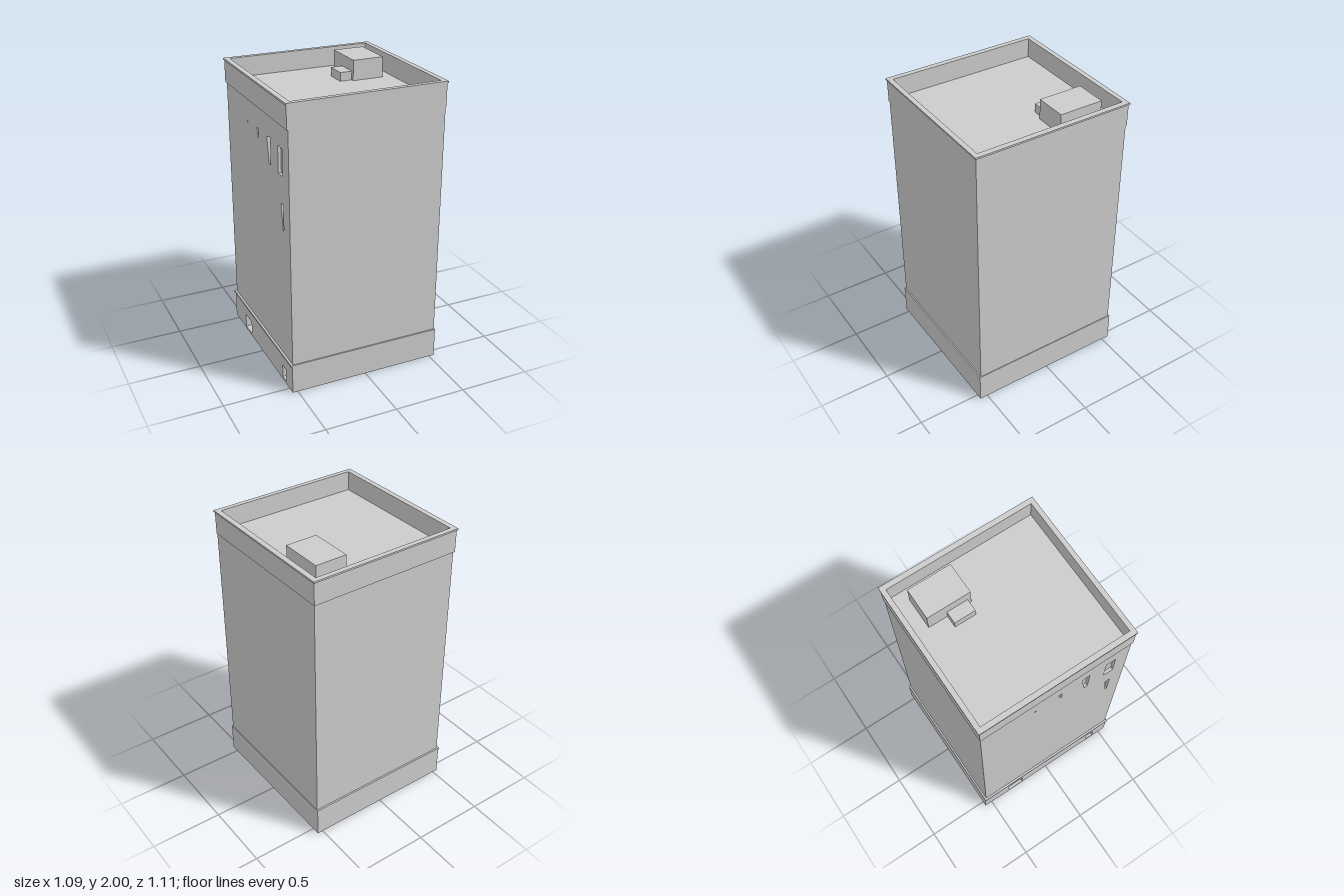
import * as THREE from 'three';

const material = new THREE.MeshStandardMaterial({ color: 0xcccccc });

export function createModel() {
  const model = new THREE.Group();
  model.name = 'towerBlock';

  function add(name, geometry) {
    const mesh = new THREE.Mesh(geometry, material);
    mesh.name = name;
    model.add(mesh);
    return mesh;
  }

  // Box given by its limits on each axis
  function block(name, [x0, x1], [y0, y1], [z0, z1]) {
    const mesh = add(name, new THREE.BoxGeometry(x1 - x0, y1 - y0, z1 - z0));
    mesh.position.set((x0 + x1) / 2, (y0 + y1) / 2, (z0 + z1) / 2);
  }

  const points = (list) => list.map(([a, b]) => new THREE.Vector2(a, b));
  const rect = (a0, a1, b0, b1) => points([[a0, b0], [a1, b0], [a1, b1], [a0, b1]]);

  // Wall on the -x side, drawn in (z, y) and pierced by openings
  function piercedWall(name, outline, openings, xInner, xOuter) {
    const shape = new THREE.Shape(outline);
    openings.forEach((o) => shape.holes.push(new THREE.Path(o)));
    const depth = xInner - xOuter;
    const mesh = add(name, new THREE.ExtrudeGeometry(shape, { depth, bevelEnabled: false }));
    mesh.rotation.y = -Math.PI / 2;
    mesh.position.x = xInner;
  }

  // Rectangular ring around the roof, drawn in (x, -z)
  function ring(name, [x0, x1], [z0, z1], [y0, y1]) {
    const shape = new THREE.Shape(rect(x0, x1, -z1, -z0));
    shape.holes.push(new THREE.Path(rect(-0.508, 0.508, -0.52, 0.522)));
    const mesh = add(name, new THREE.ExtrudeGeometry(shape, { depth: y1 - y0, bevelEnabled: false }));
    mesh.rotation.x = -Math.PI / 2;
    mesh.position.y = y0;
  }

  // Ground floor with two doorways on the -x side
  block('base', [-0.485, 0.54], [0, 0.21], [-0.555, 0.555]);
  piercedWall('baseSideWall', rect(-0.555, 0.555, 0, 0.21), [
    rect(-0.34, -0.22, 0.015, 0.115),
    rect(0.38, 0.44, 0.02, 0.11),
  ], -0.485, -0.536);
  block('sideLedge', [-0.545, -0.52], [0.197, 0.212], [-0.555, 0.555]);

  // Shaft with narrow tapering openings on the -x side
  block('shaft', [-0.51, 0.535], [0.21, 1.83], [-0.543, 0.546]);
  piercedWall('shaftSideWall', rect(-0.543, 0.546, 0.21, 1.83), [
    rect(0.375, 0.445, 1.5, 1.68),
    points([[0.195, 1.68], [0.225, 1.5], [0.25, 1.51], [0.25, 1.69]]),
    points([[0.015, 1.68], [0.045, 1.61], [0.045, 1.685]]),
    points([[-0.16, 1.675], [-0.148, 1.66], [-0.148, 1.678]]),
    points([[0.41, 1.31], [0.435, 1.13], [0.445, 1.14], [0.445, 1.32]]),
  ], -0.51, -0.53);

  // Roof, parapet and its lip
  block('roof', [-0.52, 0.52], [1.82, 1.86], [-0.53, 0.53]);
  ring('parapet', [-0.539, 0.539], [-0.549, 0.548], [1.83, 1.983]);
  ring('parapetLip', [-0.545, 0.545], [-0.556, 0.553], [1.983, 1.995]);

  // Rooftop housings
  block('roofHousing', [0.215, 0.435], [1.85, 2], [-0.42, -0.115]);
  block('smallRoofHousing', [0.13, 0.22], [1.85, 1.92], [-0.287, -0.138]);

  return model;
}
